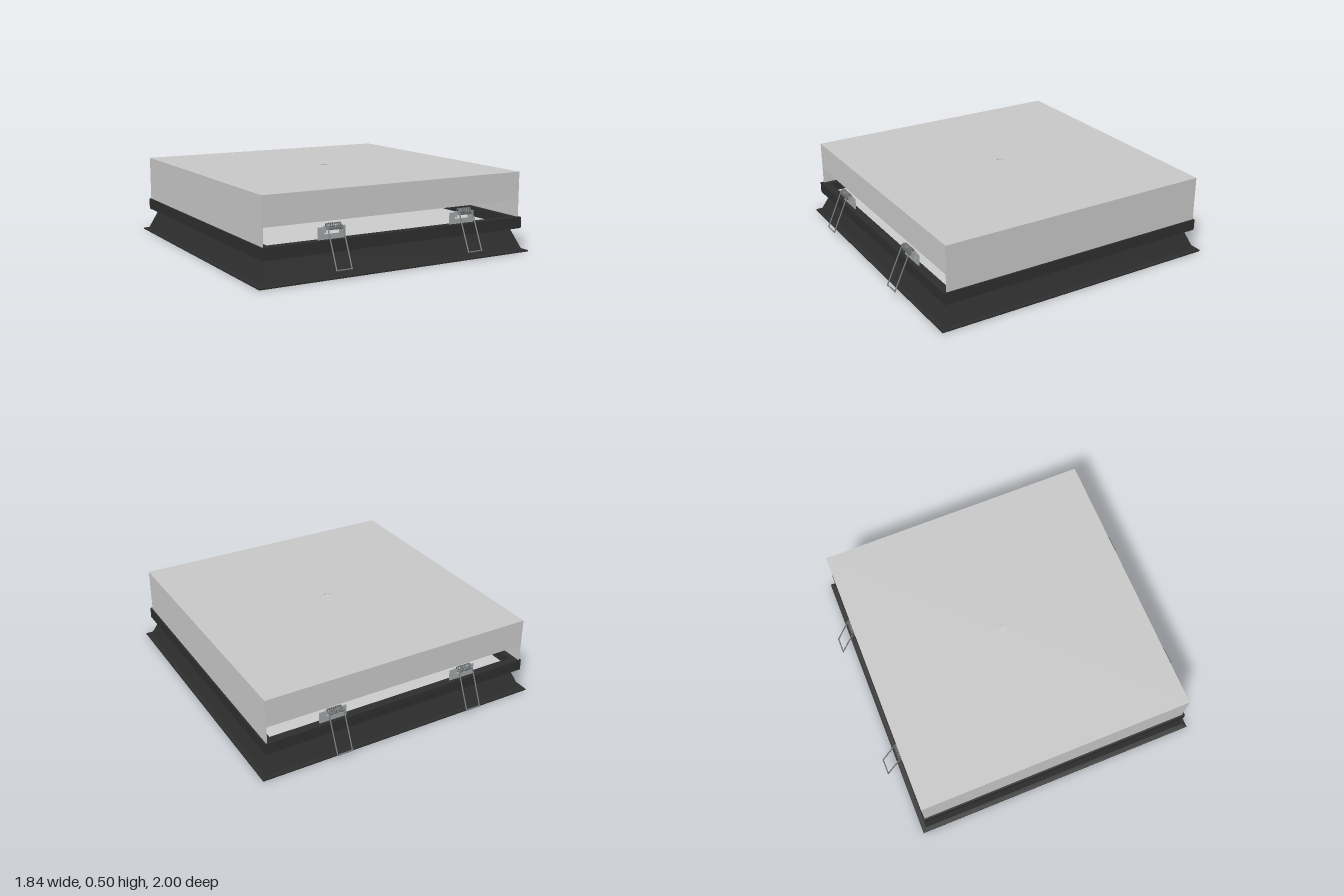
import * as THREE from 'three';

const mat = (name, color, side = THREE.FrontSide) => {
  const m = new THREE.MeshStandardMaterial({ color, side });
  m.name = name;
  return m;
};

export function createModel() {
  const root = new THREE.Group();
  root.name = 'recessedPanelLight';
  const black = mat('black frame', 0x2e2e2e);
  const grey = mat('grey housing sheet', 0xc8c8c8);
  const white = mat('diffuser', 0xcccccc);
  const steel = mat('bracket steel', 0xa0a5a5);
  const wireMat = mat('spring wire', 0x74787a);

  const add = (parent, name, geo, material, x = 0, y = 0, z = 0) => {
    const m = new THREE.Mesh(geo, material);
    m.name = name;
    m.position.set(x, y, z);
    parent.add(m);
    return m;
  };
  const box = (parent, name, material, w, h, d, x, y, z) =>
    add(parent, name, new THREE.BoxGeometry(w, h, d), material, x, y, z);

  // Square trim: a closed section swept round four sides (half-width, height)
  const section = [
    [0.885, 0], [0.92, 0], [0.92, 0.008], [0.892, 0.01], [0.835, 0.145], [0.885, 0.145],
    [0.885, 0.215], [0.832, 0.215], [0.83, 0.145], [0.885, 0],
  ].map(([r, y]) => new THREE.Vector2(r * Math.SQRT2, y));
  const frameGeo = new THREE.LatheGeometry(section, 4, Math.PI / 4).toNonIndexed();
  frameGeo.computeVertexNormals();
  add(root, 'frame', frameGeo, black);

  // Light panel inside the trim
  box(root, 'diffuserPanel', white, 1.664, 0.01, 1.664, 0, 0.152, 0);

  // Folded sheet housing: deep sides, short front and back lips, cable hole in the top
  const housing = new THREE.Group();
  housing.name = 'housing';
  housing.position.z = -0.006;
  root.add(housing);
  const t = 0.006, hw = 0.875, hd = 0.872, top = 0.495;
  const plate = new THREE.Shape([[-hw, -hd], [hw, -hd], [hw, hd], [-hw, hd]]
    .map(([x, y]) => new THREE.Vector2(x, y)));
  plate.holes.push(new THREE.Path().absarc(0, 0, 0.025, 0, Math.PI * 2, true));
  const plateGeo = new THREE.ExtrudeGeometry(plate, { depth: t, bevelEnabled: false, curveSegments: 24 });
  plateGeo.rotateX(-Math.PI / 2);
  add(housing, 'housingTop', plateGeo, grey, 0, top - t, 0);
  for (const s of [-1, 1]) {
    const sideH = top - t - 0.215, lipH = top - t - 0.32;
    box(housing, 'housingSide', grey, t, sideH, hd * 2, s * (hw - t / 2), 0.215 + sideH / 2, 0);
    box(housing, 'housingLip', grey, (hw - t) * 2, lipH, t, 0, 0.32 + lipH / 2, s * (hd - t / 2));
  }

  // Straight piece of wire between two points
  const rod = (parent, name, a, b, r) => {
    const p = new THREE.Vector3(...a), q = new THREE.Vector3(...b);
    const m = add(parent, name, new THREE.CylinderGeometry(r, r, p.distanceTo(q), 8), wireMat);
    m.position.copy(p).add(q).multiplyScalar(0.5);
    m.quaternion.setFromUnitVectors(new THREE.Vector3(0, 1, 0), q.sub(p).normalize());
  };

  // U-shaped bracket plate
  const bracketShape = new THREE.Shape([
    [-0.087, 0.2], [0.087, 0.2], [0.087, 0.285], [0.048, 0.285],
    [0.048, 0.245], [-0.048, 0.245], [-0.048, 0.285], [-0.087, 0.285],
  ].map(([x, y]) => new THREE.Vector2(x, y)));
  const bracketGeo = new THREE.ExtrudeGeometry(bracketShape, { depth: 0.006, bevelEnabled: false });

  // Coil wound along x
  const coilY = 0.291, coilZ = 0.88, turns = 7, coilPts = [];
  for (let i = 0; i <= turns * 10; i++) {
    const a = (i / 10) * Math.PI * 2;
    coilPts.push(new THREE.Vector3(
      -0.048 + 0.096 * i / (turns * 10), coilY + 0.018 * Math.sin(a), coilZ + 0.018 * Math.cos(a)));
  }
  const coilGeo = new THREE.TubeGeometry(new THREE.CatmullRomCurve3(coilPts), turns * 14, 0.004, 6);

  // Spring clips: two on the front, two on the back
  for (const turn of [0, Math.PI]) {
    for (const x of [-0.445, 0.445]) {
      const holder = new THREE.Group();
      holder.name = 'springClip';
      holder.rotation.y = turn;
      root.add(holder);
      const clip = new THREE.Group();
      clip.name = 'clipParts';
      clip.position.x = x;
      holder.add(clip);
      add(clip, 'bracket', bracketGeo, steel, 0, 0, 0.853);
      add(clip, 'coilSpring', coilGeo, wireMat);
      rod(clip, 'springPin', [-0.052, coilY, coilZ], [0.052, coilY, coilZ], 0.005);
      for (const s of [-1, 1]) {
        box(clip, 'bracketEar', steel, 0.004, 0.035, 0.03, s * 0.052, 0.275, 0.869);
        rod(clip, 'springArm', [s * 0.048, coilY, coilZ + 0.016], [s * 0.048, 0.07, 0.996], 0.004);
      }
      rod(clip, 'springEnd', [-0.052, 0.07, 0.996], [0.052, 0.07, 0.996], 0.004);
    }
  }
  return root;
}
